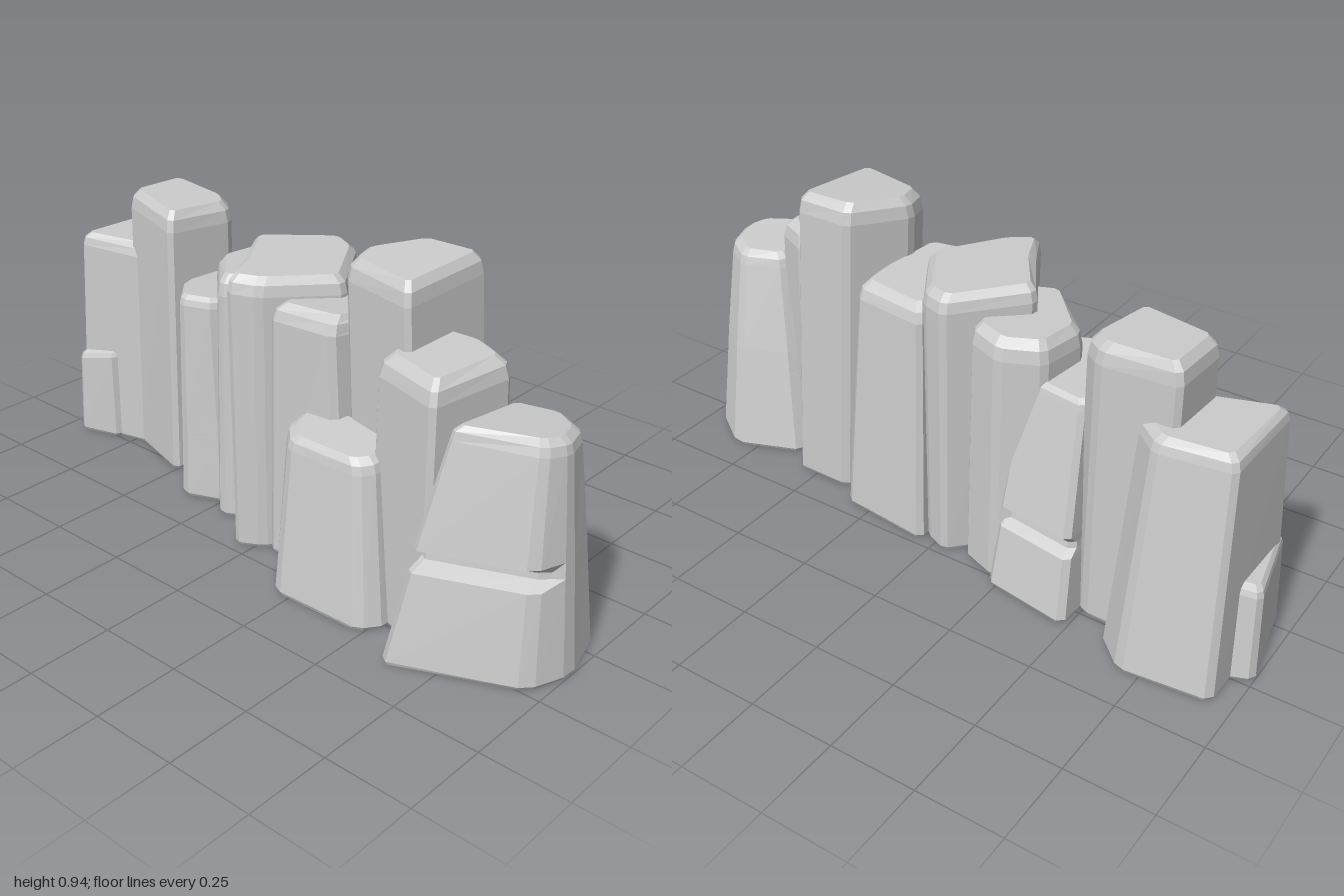
import * as THREE from 'three';

// Cut every corner of an [x, z] outline by a fixed distance
function chamfer(pts, c) {
  const out = [];
  pts.forEach((p, i) => {
    for (const q of [pts[(i + pts.length - 1) % pts.length], pts[(i + 1) % pts.length]]) {
      const t = Math.min(c / Math.hypot(q[0] - p[0], q[1] - p[1]), 0.4);
      out.push([p[0] + (q[0] - p[0]) * t, p[1] + (q[1] - p[1]) * t]);
    }
  });
  return out;
}

const centre = (pts) => [0, 1].map((k) => pts.reduce((s, p) => s + p[k], 0) / pts.length);

// Pull an outline towards its middle by a distance
function inset(pts, d) {
  const [cx, cz] = centre(pts);
  return pts.map(([x, z]) => {
    const k = 1 - d / Math.hypot(x - cx, z - cz);
    return [cx + (x - cx) * k, cz + (z - cz) * k];
  });
}

// Spread an outline to fill the rectangle [xMin, xMax, zMin, zMax]
function fit(pts, rect) {
  return pts.map((p) => p.map((v, k) => {
    const all = pts.map((q) => q[k]), lo = Math.min(...all), hi = Math.max(...all);
    return THREE.MathUtils.mapLinear(v, lo, hi, rect[2 * k], rect[2 * k + 1]);
  }));
}

// Loft a rock from its foot rectangle up to its top outline, with a tilted, bevelled crown.
// Outlines run anticlockwise seen from above.
function rock(name, h, top, { foot, sx = 0, sz = 0, bevel = 0.03, drop = 0.05, notch }) {
  const hi = chamfer(top, 0.014);
  const lo = foot ? fit(hi, foot) : inset(hi, -0.015);
  const [cx, cz] = centre(hi);
  const mix = (t) => lo.map((p, i) => p.map((v, k) => v + (hi[i][k] - v) * t));
  const level = (pts, y) => pts.map(([x, z]) => [x, y, z]);
  const crown = (pts, y) => pts.map(([x, z]) => [x, y + sx * (x - cx) + sz * (z - cz), z]);

  const rings = [level(inset(lo, 0.006), 0), level(lo, 0.01)];
  if (notch) {
    // A crack cut into the side facing left (1) or right (-1)
    const cut = (dy, depth) => {
      const pts = mix((notch.y + dy) / h), mx = centre(pts)[0];
      return level(pts.map(([x, z]) =>
        [(x - mx) * notch.side > 0.07 ? x - notch.side * depth : x, z]), notch.y + dy);
    };
    rings.push(cut(-0.03, 0), cut(-0.01, notch.depth), cut(0.008, notch.depth), cut(0.035, -0.008));
  }
  rings.push(crown(hi, h - drop), crown(inset(hi, bevel * 0.25), h - drop * 0.4),
    crown(inset(hi, bevel), h));

  const n = lo.length, pos = rings.flat(2), idx = [];
  for (let r = 0; r < rings.length - 1; r++) {
    for (let i = 0; i < n; i++) {
      const a = r * n + i, b = r * n + (i + 1) % n;
      idx.push(a, b, b + n, a, b + n, a + n);
    }
  }
  // Close the underside and the crown
  const [bx, bz] = centre(lo), c = rings.length * n, last = c - n;
  pos.push(bx, 0, bz, cx, h, cz);
  for (let i = 0; i < n; i++) {
    const j = (i + 1) % n;
    idx.push(c, j, i, c + 1, last + i, last + j);
  }
  const geo = new THREE.BufferGeometry();
  geo.setAttribute('position', new THREE.Float32BufferAttribute(pos, 3));
  geo.setIndex(idx);
  geo.computeVertexNormals();
  const mesh = new THREE.Mesh(geo, new THREE.MeshStandardMaterial({ color: 0xcccccc, flatShading: true }));
  mesh.name = name;
  return mesh;
}

export function createModel() {
  const group = new THREE.Group();
  group.name = 'rockWall';
  const add = (...spec) => group.add(rock(...spec));

  // Front end: a broad tapering rock, then steps up to the tallest
  add('frontRock', 0.637,
    [[-0.265, 0.7], [-0.18, 0.92], [-0.11, 0.95], [-0.01, 0.92], [0.045, 0.83], [0, 0.7]],
    { foot: [-0.385, 0.15, 0.61, 1], sx: -0.09, drop: 0.04, notch: { y: 0.29, side: -1, depth: 0.045 } });
  add('secondRock', 0.75,
    [[-0.21, 0.44], [-0.27, 0.66], [-0.02, 0.715], [0.04, 0.6], [0.02, 0.43]],
    { sx: 0.06, bevel: 0.04, drop: 0.06 });
  add('tallRock', 0.928,
    [[-0.12, 0.26], [-0.17, 0.5], [0.13, 0.52], [0.135, 0.34], [-0.03, 0.235]],
    { foot: [-0.17, 0.145, 0.28, 0.57], sx: 0.06, drop: 0.06 });

  // Middle: overlapping rocks around a wide faceted one
  add('lowSideRock', 0.47,
    [[-0.22, 0.15], [-0.285, 0.21], [-0.28, 0.44], [-0.23, 0.48], [-0.1, 0.42], [-0.1, 0.14]],
    { foot: [-0.33, -0.08, 0.12, 0.53], sx: 0.12, drop: 0.04 });
  add('innerRock', 0.75,
    [[-0.18, 0.05], [-0.16, 0.25], [0.02, 0.3], [0.17, 0.285], [0.2, 0.05]],
    { foot: [-0.18, 0.23, 0.04, 0.35], sx: -0.06, bevel: 0.04 });
  add('middleRock', 0.82,
    [[0.06, -0.23], [-0.12, -0.12], [-0.23, -0.06], [-0.19, 0.02], [0, 0.165], [0.21, 0.03], [0.24, -0.05]],
    { foot: [-0.22, 0.23, -0.2, 0.15], sz: -0.06 });
  add('narrowRock', 0.75,
    [[0.18, -0.33], [0.03, -0.355], [-0.12, -0.2], [-0.08, -0.12], [0.2, -0.11], [0.24, -0.22]],
    { sz: 0.06, drop: 0.06 });
  add('crackedRock', 0.64,
    [[0.21, -0.46], [0, -0.47], [-0.11, -0.37], [-0.07, -0.27], [0.18, -0.26]],
    { foot: [-0.12, 0.32, -0.5, -0.22], sx: -0.05, bevel: 0.02, drop: 0.03, notch: { y: 0.22, side: 1, depth: 0.025 } });

  // Back end: a tall rock, a leaning one and a low ledge
  add('rearTallRock', 0.843,
    [[0.245, -0.74], [0.05, -0.75], [-0.02, -0.5], [0.19, -0.45], [0.24, -0.51]],
    { foot: [-0.03, 0.25, -0.75, -0.45], sz: -0.06, drop: 0.06 });
  add('rearRock', 0.68,
    [[0.29, -0.92], [-0.01, -0.925], [0.04, -0.7], [0.24, -0.63], [0.31, -0.71]],
    { foot: [-0.02, 0.385, -0.95, -0.6], sz: -0.03, drop: 0.04 });
  add('rearLedge', 0.29,
    [[0.21, -0.99], [-0.04, -0.935], [0, -0.8], [0.26, -0.86]],
    { foot: [-0.04, 0.28, -1, -0.8], sz: 0.2, bevel: 0.025, drop: 0.025 });
  return group;
}
